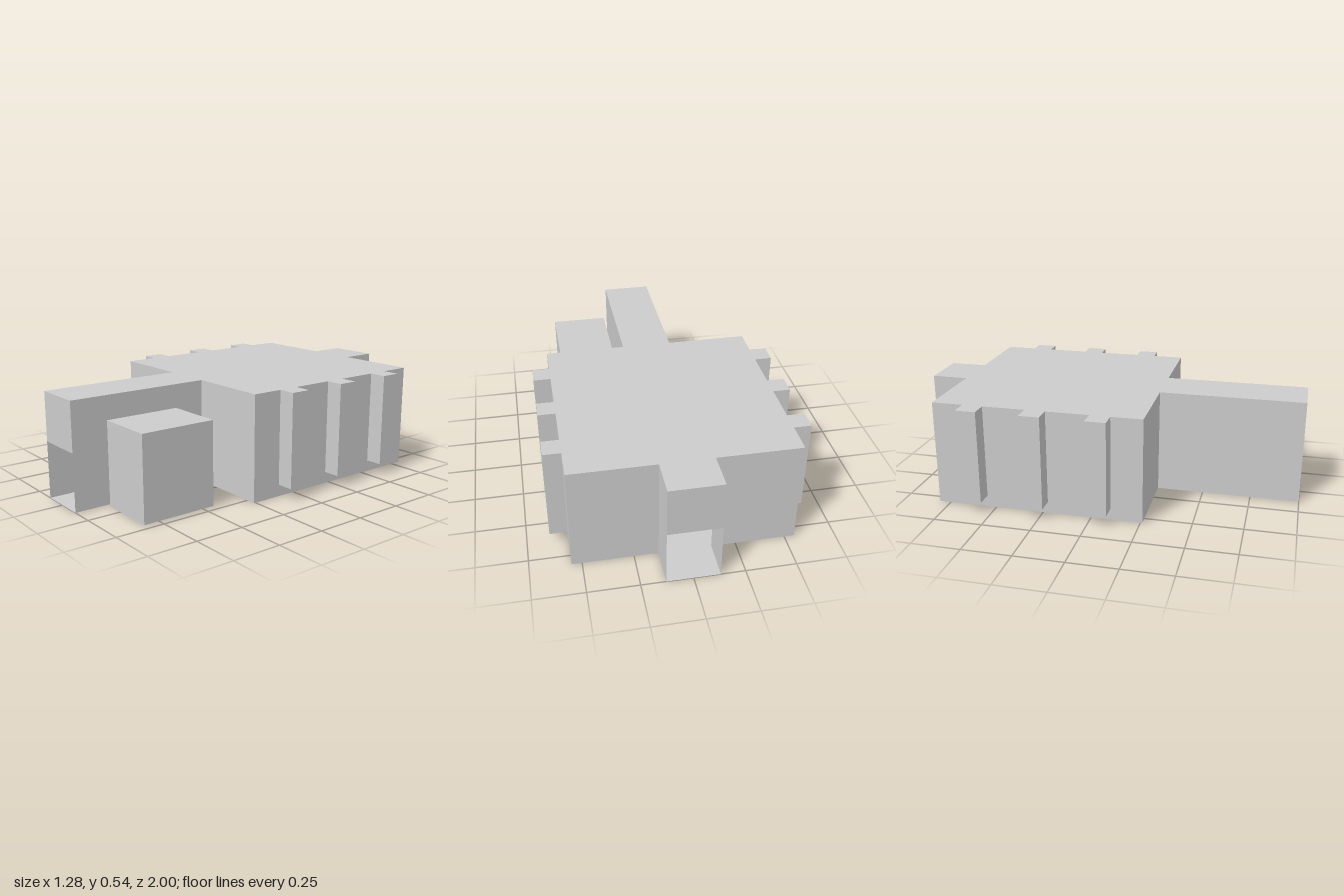
import * as THREE from 'three';

const H = 0.54;
const material = new THREE.MeshStandardMaterial({
  color: 0xcccccc, flatShading: true, side: THREE.DoubleSide,
});

function add(parent, name, geometry) {
  const mesh = new THREE.Mesh(geometry, material);
  mesh.name = name;
  parent.add(mesh);
  return mesh;
}

function rectangle(path, u0, u1, v0, v1) {
  return path.moveTo(u0, v0).lineTo(u1, v0).lineTo(u1, v1).lineTo(u0, v1).closePath();
}

// Thin upright wall between two plan points [x, z], from y0 to the roof
function wall(parent, name, [x1, z1], [x2, z2], y0 = 0, hole = null) {
  const length = Math.hypot(x2 - x1, z2 - z1);
  const shape = rectangle(new THREE.Shape(), 0, length, y0, H);
  if (hole) shape.holes.push(rectangle(new THREE.Path(), ...hole));
  const mesh = add(parent, name, new THREE.ShapeGeometry(shape));
  mesh.position.set(x1, 0, z1);
  mesh.rotation.y = -Math.atan2(z2 - z1, x2 - x1);
}

// Rectangular tube through sections [x, y0, y1, z0, z1], closed at the last one
function ductGeometry(sections) {
  const rings = sections.map(([x, y0, y1, z0, z1]) =>
    [[x, y0, z1], [x, y0, z0], [x, y1, z0], [x, y1, z1]]);
  const positions = [];
  const quad = (a, b, c, d) => positions.push(...a, ...b, ...c, ...a, ...c, ...d);
  for (let s = 0; s < rings.length - 1; s++) {
    const a = rings[s], b = rings[s + 1];
    for (let i = 0; i < 4; i++) {
      const j = (i + 1) % 4;
      quad(a[i], a[j], b[j], b[i]);
    }
  }
  quad(...rings[rings.length - 1]);
  const geometry = new THREE.BufferGeometry();
  geometry.setAttribute('position', new THREE.Float32BufferAttribute(positions, 3));
  geometry.computeVertexNormals();
  return geometry;
}

export function createModel() {
  const model = new THREE.Group();
  model.name = 'hall';

  // Plan outline: long front corridor, wide hall, short rear corridor
  const plan = [
    [-0.13, 1], [0.13, 1], [0.13, 0.26], [0.55, 0.26], [0.55, -0.81], [0.13, -0.81],
    [0.13, -1], [-0.13, -1], [-0.13, -0.81], [-0.55, -0.81], [-0.55, 0.26], [-0.13, 0.26],
  ];

  // Floor and roof
  const floorShape = new THREE.Shape(plan.map(([x, z]) => new THREE.Vector2(x, z)));
  add(model, 'floor', new THREE.ShapeGeometry(floorShape).rotateX(Math.PI / 2));
  const roofShape = new THREE.Shape(plan.map(([x, z]) => new THREE.Vector2(x, -z)));
  add(model, 'roof', new THREE.ShapeGeometry(roofShape).rotateX(-Math.PI / 2)).position.y = H;

  // Walls: headers over the two open ends, a hatch in the front corridor's left wall
  const walls = new THREE.Group();
  walls.name = 'walls';
  model.add(walls);
  plan.forEach((start, i) => {
    const end = plan[(i + 1) % plan.length];
    if (i === 0) wall(walls, 'frontHeader', start, end, 0.29);
    else if (i === 6) wall(walls, 'rearHeader', start, end, 0.29);
    else if (i === 1) wall(walls, 'hatchWall', start, end, 0, [0.35, 0.46, 0.11, 0.25]);
    else wall(walls, 'wall', start, end);
  });

  // Buttresses along both sides of the hall
  for (const side of [-1, 1]) {
    for (const z of [0.048, -0.275, -0.597]) {
      const buttress = add(model, 'buttress', new THREE.BoxGeometry(0.088, H - 0.06, 0.104));
      buttress.position.set(side * 0.594, (H + 0.06) / 2, z);
    }
  }

  // Side chamber joined to the corridor by a narrow flaring duct
  add(model, 'sideChamber', ductGeometry([
    [0.13, 0.11, 0.25, 0.54, 0.65],
    [0.157, 0.11, 0.25, 0.54, 0.65],
    [0.168, 0.005, 0.43, 0.445, 0.835],
    [0.468, 0.005, 0.43, 0.445, 0.835],
  ]));

  return model;
}
